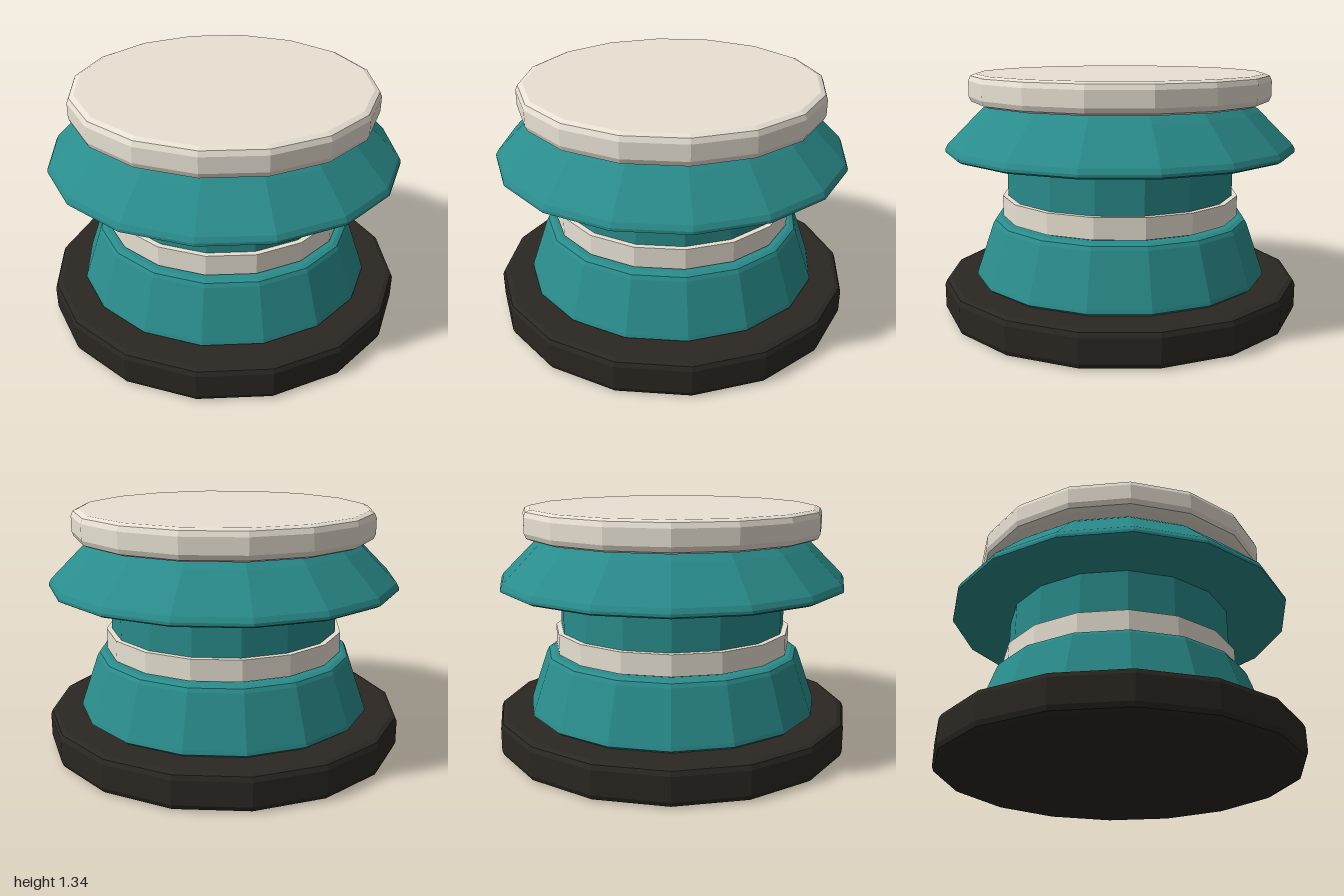
import * as THREE from 'three';

const SIDES = 16;

const material = (color) => new THREE.MeshStandardMaterial({ color, flatShading: true });

// Faceted solid of revolution: outer profile [radius, y] from bottom to top, closed at the axis
function turned(name, profile, mat) {
  const pts = [[0, profile[0][1]], ...profile, [0, profile[profile.length - 1][1]]];
  const geometry = new THREE.LatheGeometry(pts.map(([r, y]) => new THREE.Vector2(r, y)), SIDES);
  const mesh = new THREE.Mesh(geometry, mat);
  mesh.name = name;
  return mesh;
}

// Disc profile with a two-step bevel on both rims
function bevelledDisc(r, y0, y1, b) {
  const half = [[r - b, 0], [r - b * 0.3, b * 0.3], [r, b]];
  return [
    ...half.map(([x, h]) => [x, y0 + h]),
    ...half.reverse().map(([x, h]) => [x, y1 - h]),
  ];
}

export function createModel() {
  const group = new THREE.Group();
  group.name = 'pedestal';

  const dark = material(0x2b2722);
  const teal = material(0x2a8c8c);
  const cream = material(0xe8e1d3);

  group.add(
    // Dark foot plate
    turned('base', bevelledDisc(1, 0, 0.2, 0.035), dark),
    // Tapered lower body
    turned('lowerBody', [
      [0.8, 0.2], [0.82, 0.215], [0.815, 0.235],
      [0.722, 0.505], [0.71, 0.525], [0.685, 0.535],
    ], teal),
    // Straight column and its pale collar
    turned('column', [[0.635, 0.5], [0.635, 0.93]], teal),
    turned('collar', [[0.665, 0.545], [0.665, 0.66]], cream),
    // Flared upper body
    turned('upperBody', [
      [0.95, 0.905], [0.968, 0.915], [0.968, 0.93], [0.955, 0.955],
      [0.775, 1.135], [0.74, 1.165], [0.69, 1.18],
    ], teal),
    // Pale top plate
    turned('topPlate', bevelledDisc(0.832, 1.175, 1.335, 0.038), cream),
  );

  return group;
}
